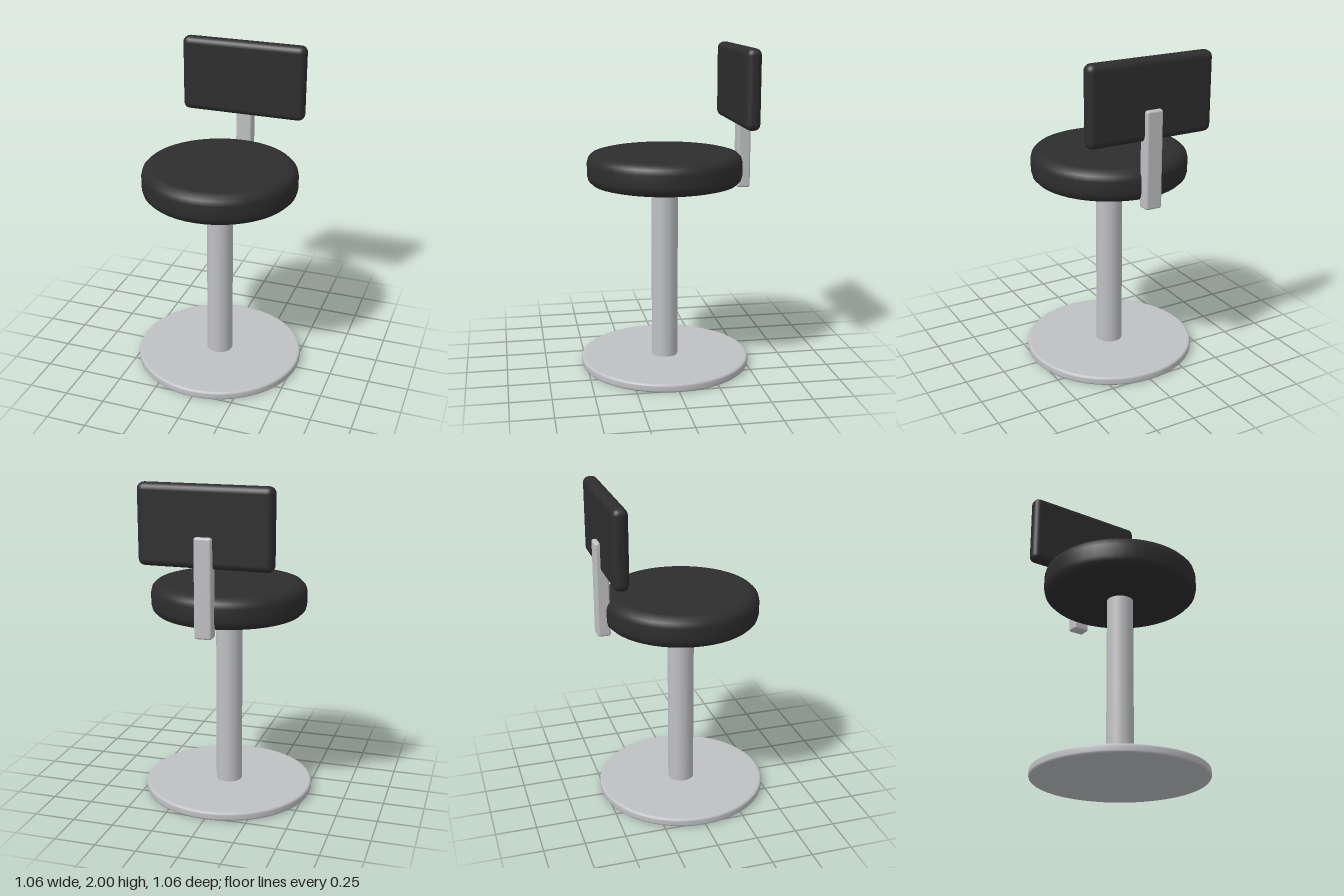
import * as THREE from 'three';
import { RoundedBoxGeometry } from 'three/addons/geometries/RoundedBoxGeometry.js';

const metal = new THREE.MeshStandardMaterial({ color: 0xbfc0c3 });
metal.name = 'brushed metal';
const padding = new THREE.MeshStandardMaterial({ color: 0x2d2d2d });
padding.name = 'black padding';

// Solid disc with rounded rims, turned around the y axis
function roundedDisc(radius, bottom, top, bevel, steps, segments) {
  const points = [new THREE.Vector2(0, bottom), new THREE.Vector2(radius - bevel - 0.004, bottom)];
  for (const [y, start] of [[bottom + bevel, -Math.PI / 2], [top - bevel, 0]]) {
    for (let i = 0; i <= steps; i++) {
      const a = start + (i / steps) * Math.PI / 2;
      points.push(new THREE.Vector2(radius - bevel + Math.cos(a) * bevel, y + Math.sin(a) * bevel));
    }
  }
  points.push(new THREE.Vector2(radius - bevel - 0.004, top), new THREE.Vector2(0, top));
  return new THREE.LatheGeometry(points, segments);
}

export function createModel() {
  const group = new THREE.Group();
  group.name = 'stool';

  function add(name, geometry, material, x = 0, y = 0, z = 0) {
    const mesh = new THREE.Mesh(geometry, material);
    mesh.name = name;
    mesh.position.set(x, y, z);
    group.add(mesh);
  }

  // Floor plate and column
  add('base', roundedDisc(0.53, 0, 0.053, 0.014, 3, 48), metal);
  add('column', new THREE.CylinderGeometry(0.082, 0.082, 1.11, 32), metal, 0, 0.595, 0);

  // Round cushion
  add('seat', roundedDisc(0.478, 1.16, 1.355, 0.06, 3, 48), padding);

  // Upright bar behind the seat, carrying the back pad
  add('backBracket', new RoundedBoxGeometry(0.104, 0.585, 0.08, 2, 0.013), metal, 0, 1.418, -0.49);
  add('backrest', new RoundedBoxGeometry(0.8, 0.475, 0.092, 3, 0.04), padding, 0, 1.7625, -0.455);

  return group;
}
